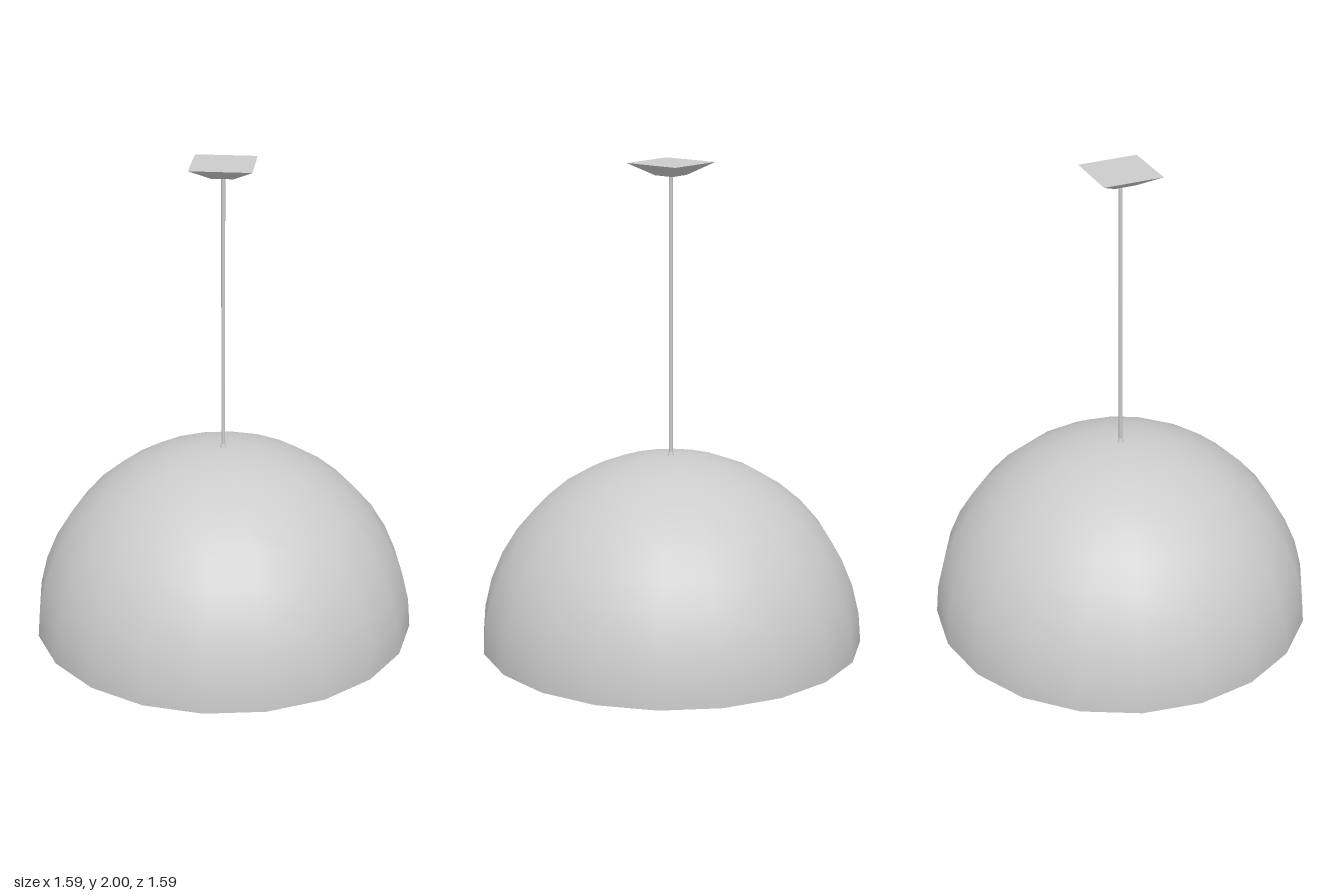
import * as THREE from 'three';

export function createModel() {
  const group = new THREE.Group();
  const smooth = new THREE.MeshStandardMaterial({ color: 0xcccccc });
  const flat = new THREE.MeshStandardMaterial({ color: 0xcccccc, flatShading: true });
  const shell = new THREE.MeshStandardMaterial({ color: 0xcccccc, side: THREE.DoubleSide });

  const add = (name, geometry, material, y = 0) => {
    const mesh = new THREE.Mesh(geometry, material);
    mesh.name = name;
    mesh.position.y = y;
    group.add(mesh);
    return mesh;
  };

  // Open half-sphere shade
  const R = 0.795;
  add('domeShade', new THREE.SphereGeometry(R, 20, 10, 0, Math.PI * 2, 0, Math.PI / 2), shell);

  // Hanging rod with a small flared foot on the shade
  const rodTop = 1.96, rodBottom = 0.79;
  add('rod', new THREE.CylinderGeometry(0.008, 0.008, rodTop - rodBottom, 12), smooth, (rodTop + rodBottom) / 2);
  add('rodCollar', new THREE.CylinderGeometry(0.008, 0.014, 0.017, 12), smooth, 0.8015);

  // Square ceiling mount, tapering downwards
  const mount = new THREE.CylinderGeometry(0.125 * Math.SQRT2, 0.045 * Math.SQRT2, 0.05, 4);
  mount.rotateY(Math.PI / 4);
  add('ceilingMount', mount, flat, 1.975);

  return group;
}
